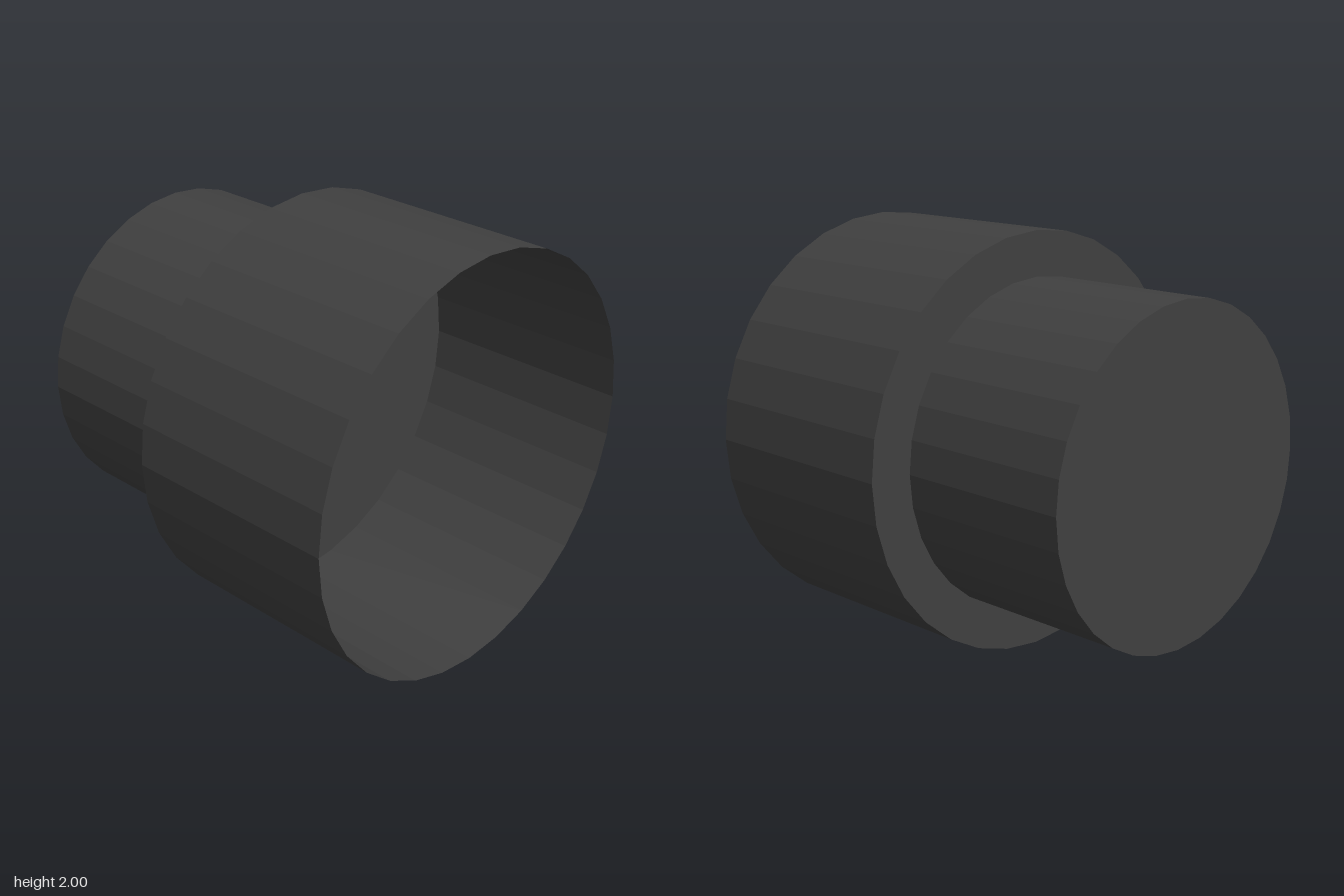
import * as THREE from 'three';

const SIDES = 32;
const material = new THREE.MeshStandardMaterial({
  color: 0x404040, flatShading: true, side: THREE.DoubleSide,
});

// Thin open tube lying along x
function tube(name, radius, x0, x1) {
  const geometry = new THREE.CylinderGeometry(radius, radius, x1 - x0, SIDES, 1, true);
  geometry.rotateZ(-Math.PI / 2).translate((x0 + x1) / 2, 1, 0);
  const mesh = new THREE.Mesh(geometry, material);
  mesh.name = name;
  return mesh;
}

// Thin disc facing -x
function disc(name, radius, x) {
  const geometry = new THREE.CircleGeometry(radius, SIDES);
  geometry.rotateY(-Math.PI / 2).translate(x, 1, 0);
  const mesh = new THREE.Mesh(geometry, material);
  mesh.name = name;
  return mesh;
}

export function createModel() {
  const group = new THREE.Group();
  group.name = 'steppedCup';
  const end = -0.985, step = -0.1, rim = 0.985;

  // Wide cup, open at +x, with its floor forming the shoulder
  group.add(tube('cupWall', 1, step, rim), disc('cupFloor', 1, step));

  // Narrower closed neck behind the floor
  group.add(tube('neckWall', 0.787, end, step), disc('neckCap', 0.787, end));
  return group;
}
